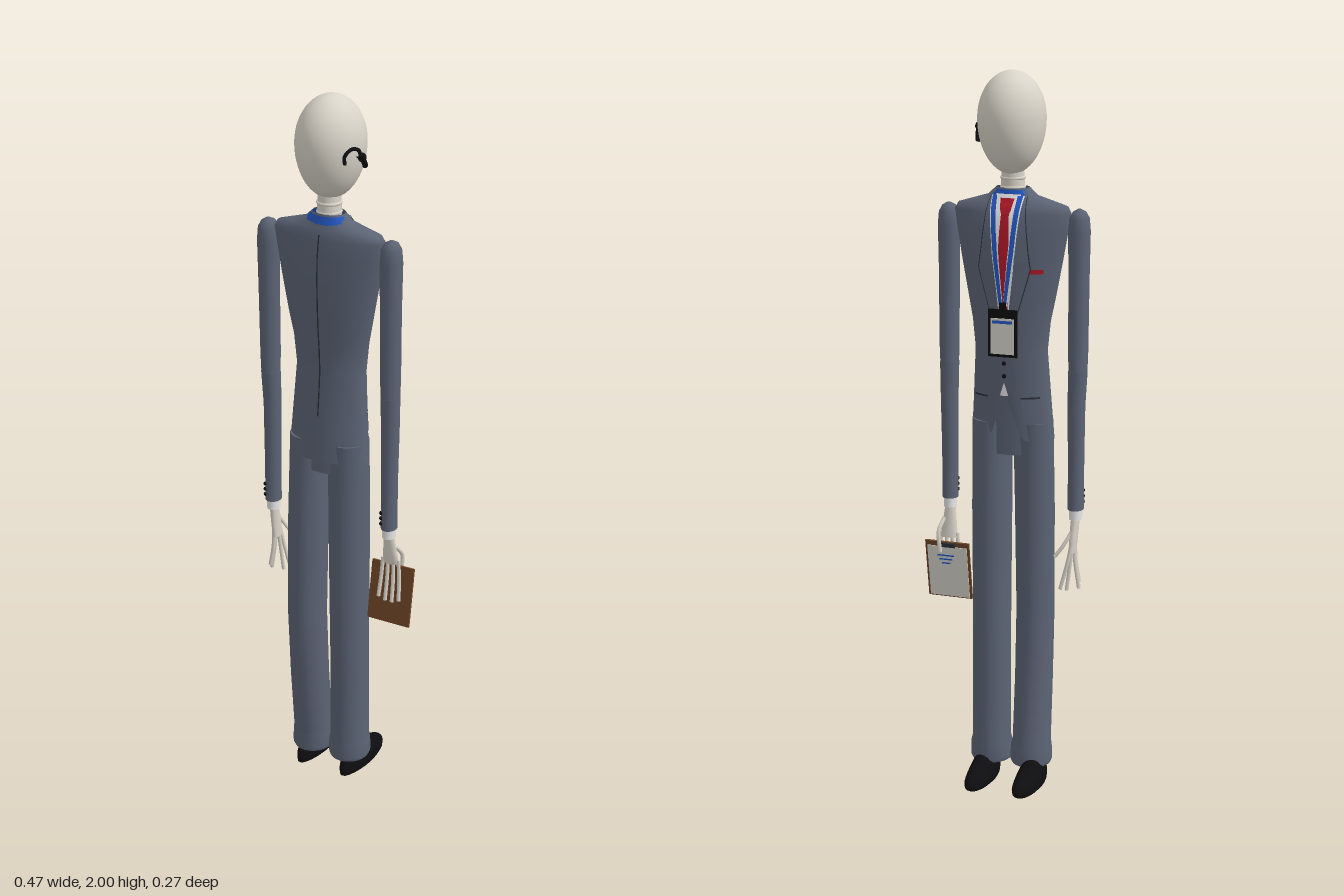
import * as THREE from 'three';

const mat = (name, color, side = THREE.FrontSide) => {
  const m = new THREE.MeshStandardMaterial({ color, side });
  m.name = name;
  return m;
};
const DS = THREE.DoubleSide;
const M = {
  suit: mat('slate suit', 0x5b6374, DS),
  skin: mat('pale skin', 0xd9d4c9),
  black: mat('black', 0x0e0e10, DS),
  blue: mat('lanyard blue', 0x2458c4, DS),
  red: mat('tie red', 0xb0182a, DS),
  white: mat('shirt white', 0xf0f0f0, DS),
  paper: mat('paper', 0xd6d4cc, DS),
  brown: mat('board brown', 0x6e4627),
  seam: mat('seam grey', 0x2b3038, DS),
};
const CX = -0.017; // body midline

export function createModel() {
  const root = new THREE.Group();
  const add = (name, geo, material, parent = root) => {
    const mesh = new THREE.Mesh(geo, material);
    mesh.name = name;
    parent.add(mesh);
    return mesh;
  };

  // Skin elliptical rings [y, cx, cz, rx, rz], listed from bottom to top
  const loft = (rings, n = 24, caps = true) => {
    const pos = [], idx = [];
    const ring = ([y, cx, cz, rx, rz]) => {
      for (let j = 0; j < n; j++) {
        const a = (j / n) * Math.PI * 2;
        pos.push(cx + rx * Math.cos(a), y, cz + rz * Math.sin(a));
      }
    };
    rings.forEach(ring);
    for (let i = 0; i < rings.length - 1; i++) for (let j = 0; j < n; j++) {
      const a = i * n + j, b = i * n + (j + 1) % n;
      idx.push(a, a + n, b, b, a + n, b + n);
    }
    if (caps) [rings[0], rings[rings.length - 1]].forEach((r, k) => {
      const s = pos.length / 3;
      ring(r);
      pos.push(r[1], r[0], r[2]);
      for (let j = 0; j < n; j++) {
        const a = s + j, b = s + (j + 1) % n;
        idx.push(s + n, ...(k ? [b, a] : [a, b]));
      }
    });
    const g = new THREE.BufferGeometry();
    g.setAttribute('position', new THREE.Float32BufferAttribute(pos, 3));
    g.setIndex(idx);
    g.computeVertexNormals();
    return g;
  };
  const tube = (pts, r) => new THREE.TubeGeometry(
    new THREE.CatmullRomCurve3(pts.map(p => new THREE.Vector3(...p))), 14, r, 7);
  const ball = (r, x, y, z) => new THREE.SphereGeometry(r, 10, 8).translate(x, y, z);

  // Jacket: [y, half width, back z, front z]
  const torso = [
    [1.0, .118, .11, -.026], [1.1, .111, .104, -.03], [1.25, .102, .088, -.032],
    [1.33, .11, .092, -.035], [1.4, .124, .099, -.036], [1.5, .143, .102, -.036],
    [1.58, .157, .1, -.03], [1.625, .165, .094, -.021], [1.643, .155, .09, -.014],
    [1.655, .115, .085, -.006], [1.668, .07, .08, 0], [1.69, .046, .073, .004],
  ];
  const jacket = loft(torso.map(([y, rx, b, f]) => [y, CX, (b + f) / 2, rx, (b - f) / 2]), 40, false);
  // Cut the front hem away around the middle
  const jp = jacket.attributes.position;
  for (let i = 0; i < jp.count; i++) {
    const y = jp.getY(i);
    if (y < 1.2 && jp.getZ(i) < .03)
      jp.setY(i, y + .13 * (1.25 - y) / .25 * Math.exp(-(((jp.getX(i) - CX) / .03) ** 2)));
  }
  jacket.computeVertexNormals();
  add('jacket', jacket, M.suit);

  // Depth of the jacket surface; dir -1 is the chest, +1 the back
  const surfaceZ = (x, y, dir) => {
    let i = 0;
    while (i < torso.length - 2 && torso[i + 1][0] < y) i++;
    const t = (y - torso[i][0]) / (torso[i + 1][0] - torso[i][0]);
    const [rx, b, f] = [1, 2, 3].map(k => THREE.MathUtils.lerp(torso[i][k], torso[i + 1][k], t));
    return (b + f) / 2 + dir * (b - f) / 2 * Math.sqrt(Math.max(0, 1 - ((x - CX) / rx) ** 2));
  };
  // Thin cloth lying on the jacket, rows [y, x0, x1] relative to the midline
  const cloth = (name, material, rows, lift, dir = -1) => {
    const pos = [], idx = [], cols = 4, steps = 8;
    for (let s = 0; s <= (rows.length - 1) * steps; s++) {
      const k = Math.min(Math.floor(s / steps), rows.length - 2), t = s / steps - k;
      const [y, a, b] = rows[k].map((v, q) => THREE.MathUtils.lerp(v, rows[k + 1][q], t));
      for (let c = 0; c <= cols; c++) {
        const x = CX + a + (b - a) * c / cols;
        pos.push(x, y, surfaceZ(x, y, dir) + dir * lift);
        if (s && c) {
          const p = pos.length / 3 - 1, q = p - cols - 1;
          idx.push(p, q, p - 1, q, q - 1, p - 1);
        }
      }
    }
    const g = new THREE.BufferGeometry();
    g.setAttribute('position', new THREE.Float32BufferAttribute(pos, 3));
    g.setIndex(idx);
    g.computeVertexNormals();
    return add(name, g, material);
  };

  cloth('backSeam', M.seam, [[1.13, -.002, .002], [1.64, -.002, .002]], .003, 1);
  cloth('shirtFront', M.white, [[1.25, -.002, .002], [1.5, -.03, .03], [1.675, -.035, .035]], .003);
  cloth('shirtTip', M.white, [[1.13, -.012, .012], [1.165, -.001, .001]], .003);
  cloth('tie', M.red, [[1.28, -.005, .005], [1.45, -.019, .019], [1.625, -.011, .011], [1.635, -.015, .015], [1.665, -.02, .02]], .006);
  cloth('pocketSquare', M.red, [[1.468, -.105, -.065], [1.48, -.105, -.065]], .004);
  for (const s of [-1, 1]) {
    const side = rows => rows.map(([y, a, b]) => [y, s * a, s * b]);
    cloth('lapel', M.suit, side([[1.24, .002, .004], [1.48, .028, .072], [1.52, .03, .066], [1.67, .034, .05]]), .006);
    cloth('lapelEdge', M.seam, side([[1.24, .004, .006], [1.48, .072, .075], [1.52, .066, .069], [1.67, .05, .052]]), .005);
    cloth('lanyardTrim', M.white, side([[1.38, 0, .013], [1.52, .013, .032], [1.672, .026, .046]]), .009);
    cloth('lanyard', M.blue, side([[1.38, .001, .01], [1.52, .016, .029], [1.672, .029, .043]]), .011);
    cloth('pocketFlap', M.suit, side([[1.07, .052, .1], [1.125, .048, .092]]), .006);
    cloth('pocketSeam', M.seam, side([[1.123, .047, .093], [1.128, .047, .093]]), .007);
  }
  for (const y of [1.22, 1.185]) add('jacketButton', ball(.006, CX, y, -.034), M.black);
  add('lanyardNeckBand', loft([[1.664, CX, .04, .072, .042], [1.686, CX, .04, .05, .038]], 28, false), M.blue);

  // Badge
  const badge = new THREE.Group();
  badge.name = 'badge';
  badge.position.set(CX, 1.305, -.043);
  root.add(badge);
  add('badgeHolder', new THREE.BoxGeometry(.082, .13, .006), M.black, badge);
  add('badgeCard', new THREE.BoxGeometry(.066, .098, .002).translate(0, -.008, -.004), M.paper, badge);
  add('badgeStripe', new THREE.BoxGeometry(.056, .008, .002).translate(0, .031, -.005), M.blue, badge);
  add('badgeClip', new THREE.BoxGeometry(.02, .03, .008).translate(0, .07, 0), M.black, badge);

  // Head and neck
  const head = new THREE.SphereGeometry(1, 40, 28);
  const hp = head.attributes.position;
  for (let i = 0; i < hp.count; i++) {
    const y = hp.getY(i);
    hp.setXYZ(i, CX + hp.getX(i) * .091, 1.875 + y * (y > 0 ? .125 : .15), .029 + hp.getZ(i) * .104);
  }
  head.computeVertexNormals();
  add('head', head, M.skin);
  add('neck', loft([[1.65, CX, .04, .034, .034], [1.75, CX, .036, .03, .032]]), M.skin);
  for (const y of [1.69, 1.715])
    add('neckRing', new THREE.TorusGeometry(.03, .005, 8, 24).rotateX(Math.PI / 2).translate(CX, y, .038), M.skin);

  // Earpiece hugging the head
  const onHead = (z, y) => {
    const v = (y - 1.875) / (y > 1.875 ? .125 : .15);
    return [CX + .091 * Math.sqrt(Math.max(0, 1 - v * v - ((z - .029) / .104) ** 2)) + .005, y, z];
  };
  add('earHook', tube([[.09, 1.84], [.093, 1.862], [.075, 1.878], [.053, 1.872], [.04, 1.853]].map(p => onHead(...p)), .005), M.black);
  add('earBoom', tube([[.055, 1.862], [.028, 1.839], [0, 1.815]].map(p => onHead(...p)), .008), M.black);
  add('earBud', ball(.012, ...onHead(.035, 1.848)), M.black);

  // Trousers: [y, back z, front z, half width]
  add('trouserSeat', loft([[.96, CX, .04, .1, .056], [1.18, CX, .035, .095, .05]]), M.suit);
  const legs = [
    [-.076, [[.05, .092, -.026, .055], [.06, .096, -.03, .059], [.1, .094, -.028, .058], [.115, .095, -.022, .054],
      [.3, .114, -.006, .053], [.5, .126, .004, .053], [.8, .116, -.004, .055], [1.05, .1, -.018, .055]]],
    [.042, [[.05, .09, -.028, .055], [.06, .094, -.033, .059], [.1, .092, -.032, .058], [.115, .09, -.03, .054],
      [.3, .09, -.03, .053], [.5, .096, -.03, .053], [.8, .1, -.03, .055], [1.05, .1, -.022, .055]]],
  ];
  for (const [x, rows] of legs)
    add('trouserLeg', loft(rows.map(([y, b, f, r]) => [y, x, (b + f) / 2, r, (b - f) / 2])), M.suit);

  // Shoes: half domes that rise from toe to ankle
  for (const x of [-.092, .05]) {
    const g = new THREE.SphereGeometry(1, 24, 16);
    const p = g.attributes.position;
    for (let i = 0; i < p.count; i++) {
      const z = p.getZ(i), h = .04 + .035 * THREE.MathUtils.smoothstep(z, -.6, .3);
      p.setXYZ(i, x + p.getX(i) * (.036 - .004 * z), Math.max(0, .012 + p.getY(i) * h), -.022 + z * .113);
    }
    g.computeVertexNormals();
    add('shoe', g, M.black);
  }

  // Sleeves, shirt cuffs and sleeve buttons
  for (const [x, w] of [[-.205, -.202], [.166, .166]]) {
    add('upperSleeve', loft([[1.19, x, .034, .025, .029], [1.25, x, .034, .027, .031], [1.45, x, .036, .028, .032],
      [1.58, x, .036, .03, .034], [1.615, x, .036, .027, .031], [1.632, x, .036, .018, .021], [1.64, x, .036, .004, .004]], 14), M.suit);
    add('lowerSleeve', loft([[.81, w, .034, .022, .026], [.95, w, .034, .022, .026], [1.1, w, .032, .024, .028],
      [1.2, x, .034, .026, .03]], 14), M.suit);
    add('shirtCuff', loft([[.782, w, .034, .018, .021], [.815, w, .034, .018, .021]], 14), M.white);
    for (const dy of [0, .016, .032])
      add('sleeveButton', ball(.006, w - .014, .828 + dy, .053), M.black);
  }

  // Open hand with long thin fingers
  add('palm', loft([[.69, -.198, .022, .009, .02], [.74, -.2, .026, .011, .021], [.79, -.202, .034, .012, .014]], 12), M.skin);
  [[-.212, .6, .04], [-.216, .585, .026], [-.185, .58, .012], [-.17, .585, 0]].forEach(([x, y, z], i) =>
    add('finger', tube([[-.2, .72, .038 - i * .01], [-.199 + (x + .2) * .3, .665, .037 - i * .011], [x, y, z]], .0055), M.skin));
  add('thumb', tube([[-.2, .755, .018], [-.18, .715, .002], [-.156, .68, -.008]], .0055), M.skin);

  // Gripping hand
  add('gripPalm', loft([[.695, .166, .02, .026, .009], [.73, .166, .026, .022, .012], [.79, .166, .034, .014, .014]], 12), M.skin);
  for (let i = 0; i < 4; i++) {
    const x = .142 + i * .016;
    add('gripFinger', tube([[x, .71, .022], [x + (i - 1.5) * .003, .645, .025],
      [x + (i - 1.5) * .005, .578 + Math.abs(i - 1.5) * .008, .034]], .0055), M.skin);
  }
  add('gripThumb', tube([[.18, .75, .022], [.188, .715, -.004], [.184, .655, -.004]], .006), M.skin);

  // Clipboard, page facing away from the fingers
  const clipboard = new THREE.Group();
  clipboard.name = 'clipboard';
  clipboard.position.set(.166, .6, .019);
  clipboard.rotation.x = -.165;
  root.add(clipboard);
  const slab = (name, w, h, d, x, y, z, m) => add(name, new THREE.BoxGeometry(w, h, d).translate(x, y, z), m, clipboard);
  slab('board', .13, .172, .007, 0, 0, 0, M.brown);
  slab('page', .118, .155, .002, 0, -.005, -.0045, M.paper);
  slab('boardClip', .05, .012, .005, 0, .078, -.006, M.seam);
  for (let i = 0; i < 3; i++) slab('pageLine', .05 - i * .012, .004, .001, .005, .045 - i * .012, -.006, M.blue);

  return root;
}
